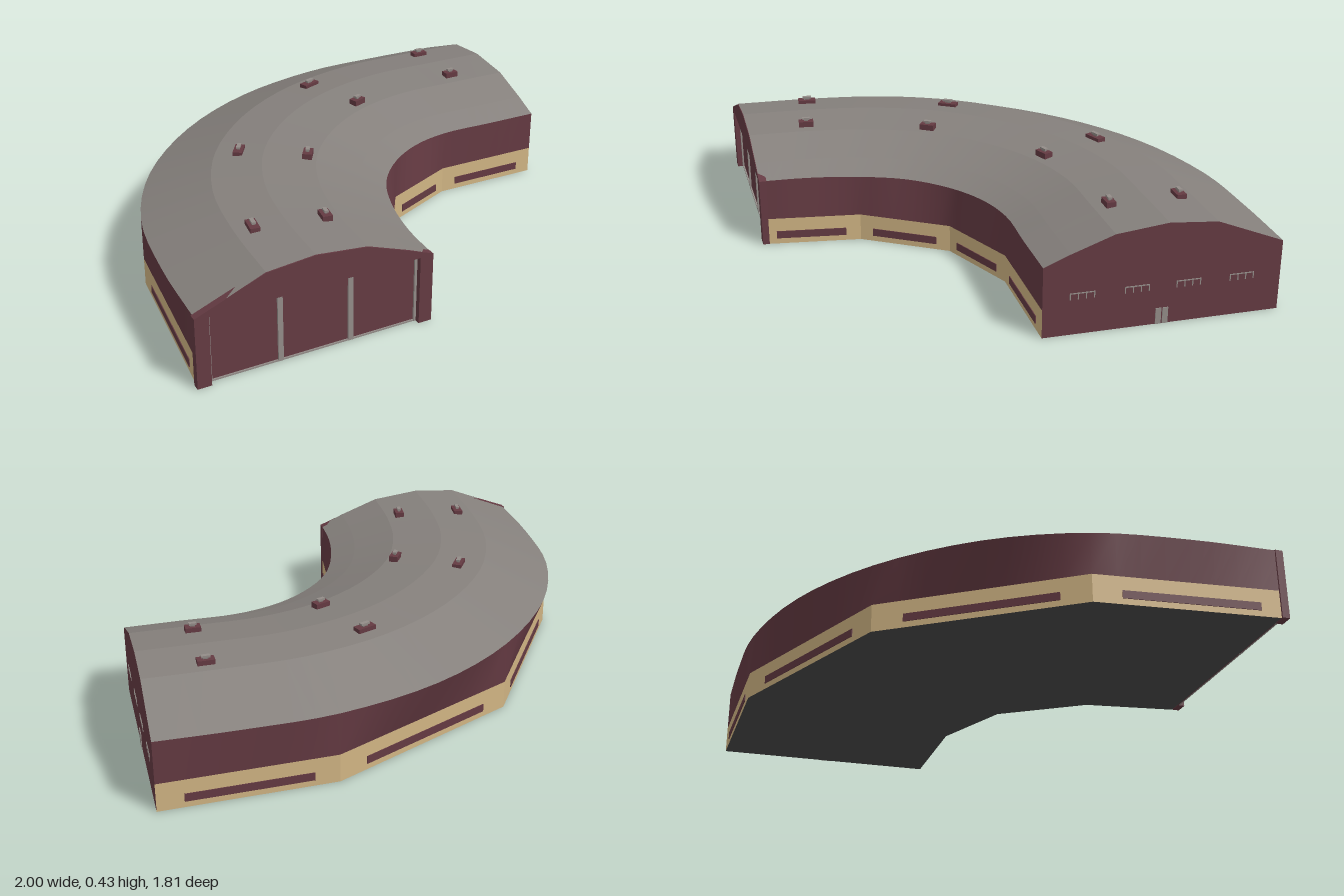
import * as THREE from 'three';

const mat = (color, flat = false) => new THREE.MeshStandardMaterial({ color, flatShading: flat });
const WALL = 0x643a42, TAN = 0xd0b483, ROOF = 0x85807c, TRIM = 0x938c88, FLOOR = 0x4a4a4a;
const STEPS = 32, BAND = 0.113, EAVE = 0.283;

// Plan outlines [x, z]: even entries are the corners of the faceted base
const innerPts = [[0.98, 0.02], [0.75, 0.02], [0.52, 0.02], [0.35, 0.066], [0.2, 0.16],
  [0.068, 0.308], [-0.01, 0.49], [-0.055, 0.69], [-0.07, 0.89]];
const outerPts = [[1, -0.905], [0.67, -0.91], [0.33, -0.895], [-0.08, -0.776], [-0.445, -0.545],
  [-0.75, -0.204], [-0.92, 0.16], [-0.98, 0.53], [-1, 0.9]];
// Roof cross-section: [fraction from inner to outer eave, height]
const profile = [[0, EAVE], [0.11, 0.325], [0.29, 0.385], [0.51, 0.407], [0.715, 0.39], [1, EAVE]];

const vec = ([x, z]) => new THREE.Vector3(x, 0, z);
const corners = (pts) => pts.filter((_, i) => i % 2 === 0).map(vec);
const atY = (row, y) => row.map((p) => p.clone().setY(y));

function smoothRow(pts) {
  const curve = new THREE.CatmullRomCurve3(pts.map(vec));
  return curve.getPoints(STEPS);
}

function facetRow(pts) {
  const c = corners(pts), n = c.length - 1;
  return Array.from({ length: STEPS + 1 }, (_, i) => {
    const s = (i / STEPS) * n, k = Math.min(Math.floor(s), n - 1);
    return c[k].clone().lerp(c[k + 1], s - k);
  });
}

// Surface through successive rows; creased between rows, smooth along them
function loft(rows) {
  const pos = [], idx = [];
  for (let r = 0; r < rows.length - 1; r++) {
    const n = rows[r].length, base = pos.length / 3;
    for (const p of [...rows[r], ...rows[r + 1]]) pos.push(p.x, p.y, p.z);
    for (let i = 0; i < n - 1; i++) {
      const a = base + i, c = a + n;
      idx.push(a, c, a + 1, a + 1, c, c + 1);
    }
  }
  const g = new THREE.BufferGeometry();
  g.setAttribute('position', new THREE.Float32BufferAttribute(pos, 3));
  g.setIndex(idx);
  g.computeVertexNormals();
  return g;
}

function add(parent, name, geometry, material) {
  const m = new THREE.Mesh(geometry, material);
  m.name = name;
  parent.add(m);
  return m;
}

function box(parent, name, size, at, material) {
  const m = add(parent, name, new THREE.BoxGeometry(...size), material);
  m.position.set(...at);
  return m;
}

// Group whose local x runs from a to b
function frameBetween(name, a, b) {
  const g = new THREE.Group();
  g.name = name;
  g.position.copy(a);
  g.rotation.y = Math.atan2(a.z - b.z, b.x - a.x);
  g.userData.width = a.distanceTo(b);
  return g;
}

export function createModel() {
  const model = new THREE.Group();
  const wall = mat(WALL), tan = mat(TAN, true), roofMat = mat(ROOF), trim = mat(TRIM);

  // Curved roof
  const inner = smoothRow(innerPts), outer = smoothRow(outerPts);
  add(model, 'roof', loft(profile.map(([f, y]) =>
    inner.map((p, i) => p.clone().lerp(outer[i], f).setY(y)))), roofMat);

  // Upper walls blend from the faceted base to the curved eaves
  const innerBase = facetRow(innerPts), outerBase = facetRow(outerPts);
  add(model, 'innerUpperWall', loft([atY(innerBase, BAND), atY(inner, EAVE)]), wall);
  add(model, 'outerUpperWall', loft([atY(outer, EAVE), atY(outerBase, BAND)]), wall);

  // Faceted lower walls
  const ci = corners(innerPts), co = corners(outerPts);
  add(model, 'innerLowerWall', loft([ci, atY(ci, BAND)]), tan);
  add(model, 'outerLowerWall', loft([atY(co, BAND), co]), tan);

  // Floor stops at the recessed doors
  const fi = corners(innerPts), fo = corners(outerPts);
  fi[4].lerp(fi[3], 0.075);
  fo[4].lerp(fo[3], 0.04);
  add(model, 'floor', loft([fo, fi]), mat(FLOOR, true));

  // Long window strip on every base facet
  for (const c of [ci, co]) {
    for (let k = 0; k < 4; k++) {
      const g = frameBetween('windowStrip', c[k], c[k + 1]), w = g.userData.width;
      box(g, 'window', [w * 0.71, 0.032, 0.006], [w * 0.505, 0.04, 0], wall);
      model.add(g);
    }
  }

  // Plain gable end with small windows and a double door
  const side = frameBetween('sideGable', ci[0], co[0]);
  const sw = side.userData.width;
  const sideShape = new THREE.Shape();
  sideShape.moveTo(0, 0);
  sideShape.lineTo(sw, 0);
  for (const [f, y] of [...profile].reverse()) sideShape.lineTo(sw * f, y);
  add(side, 'gableWall', new THREE.ShapeGeometry(sideShape), wall);
  for (const u of [0.15, 0.36, 0.56, 0.77]) {
    box(side, 'windowHead', [0.096, 0.004, 0.004], [u, 0.167, 0], trim);
    for (let k = 0; k < 4; k++) {
      box(side, 'windowBar', [0.004, 0.026, 0.004], [u - 0.046 + k * 0.0307, 0.155, 0], trim);
    }
  }
  for (const s of [-1, 1]) {
    box(side, 'doorLeaf', [0.022, 0.065, 0.006], [0.46 + s * 0.0135, 0.0325, 0], trim);
  }
  model.add(side);

  // Open gable end framing the recessed main doors
  const front = frameBetween('frontGable', co[4], ci[4]);
  const fw = front.userData.width, L = 0.05, R = fw - 0.05, H = 0.278, lip = 0.004, depth = 0.03;
  const arch = new THREE.Shape();
  arch.moveTo(-lip, 0);
  arch.lineTo(L, 0);
  arch.lineTo(L, H);
  arch.lineTo(R, H);
  arch.lineTo(R, 0);
  arch.lineTo(fw + lip, 0);
  arch.lineTo(fw + lip, EAVE);
  for (const [f, y] of profile.slice(1, -1)) arch.lineTo(fw * (1 - f), y - 0.002);
  arch.lineTo(-lip, EAVE);
  const archGeo = new THREE.ExtrudeGeometry(arch, { depth, bevelEnabled: false });
  archGeo.translate(0, 0, 0.002 - depth);
  add(front, 'gableFrame', archGeo, wall);
  box(front, 'mainDoors', [R - L, H, 0.008], [fw / 2, H / 2, -depth], wall);
  const dz = -depth + 0.006;
  box(front, 'doorHeadTrim', [R - L, 0.01, 0.008], [fw / 2, H - 0.005, dz], trim);
  box(front, 'doorSillTrim', [R - L, 0.006, 0.008], [fw / 2, 0.003, dz], trim);
  for (const [u, w] of [[L + 0.005, 0.01], [0.325, 0.02], [0.605, 0.02], [R - 0.005, 0.01]]) {
    box(front, 'doorPost', [w, H, 0.01], [u, H / 2, dz], trim);
  }
  model.add(front);

  // Roof vents: [x, z, turn in degrees, length]
  const vents = [[0.75, -0.59, 0, 0.066], [0.12, -0.49, 21, 0.08], [-0.44, 0, 57, 0.08],
    [-0.65, 0.6, 82, 0.076], [0.75, -0.31, 0, 0.06], [0.225, -0.23, 21, 0.062],
    [-0.205, 0.15, 57, 0.062], [-0.38, 0.645, 82, 0.062]];
  for (const [x, z, deg, len] of vents) {
    const v = new THREE.Group();
    v.name = 'roofVent';
    v.position.set(x, 0.4, z);
    v.rotation.y = THREE.MathUtils.degToRad(deg);
    box(v, 'ventBase', [len, 0.024, 0.038], [0, 0, 0], wall);
    box(v, 'ventNeck', [len * 0.3, 0.012, 0.01], [0, 0.015, 0], roofMat);
    box(v, 'ventCap', [len * 0.5, 0.008, 0.016], [0, 0.022, 0], trim);
    model.add(v);
  }
  return model;
}
